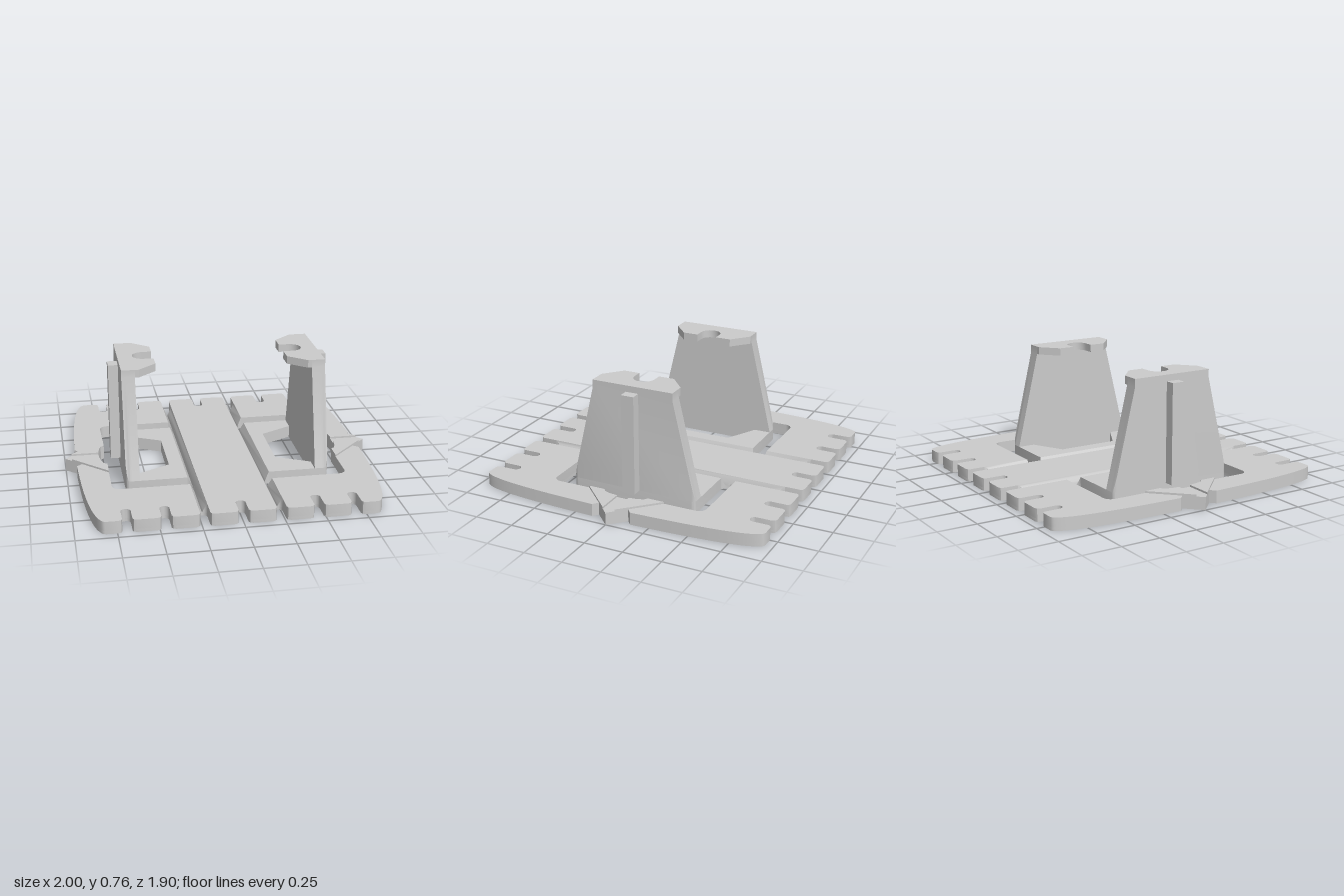
import * as THREE from 'three';
import { toCreasedNormals } from 'three/addons/utils/BufferGeometryUtils.js';

const material = new THREE.MeshStandardMaterial({ color: 0xcccccc });
const TOP = 0.08, GROOVE = 0.02, FOLD = 0.23, HALF = 0.03;

const flipZ = (pts) => pts.map(([x, z]) => [x, -z]).reverse();
const flipX = (pts) => pts.map(([x, z]) => [-x, z]).reverse();
const vectors = (pts) => pts.map(([x, y]) => new THREE.Vector2(x, y));

// Points on an arc between two angles in degrees
function arc(cx, cy, r, from, to, n = 6) {
  return Array.from({ length: n + 1 }, (_, i) => {
    const a = THREE.MathUtils.degToRad(from + ((to - from) * i) / n);
    return [cx + r * Math.cos(a), cy + r * Math.sin(a)];
  });
}

function mesh(name, geometry) {
  const m = new THREE.Mesh(toCreasedNormals(geometry, 0.6), material);
  m.name = name;
  return m;
}

// Horizontal slab from an (x, z) outline; heightAt(x) gives it a sloping top
function slab(name, pts, y0, y1, holes = [], heightAt = null) {
  const outline = vectors(pts);
  if (THREE.ShapeUtils.isClockWise(outline)) outline.reverse();
  const shape = new THREE.Shape(outline);
  for (const h of holes) shape.holes.push(new THREE.Path(vectors(h)));
  const geo = new THREE.ExtrudeGeometry(shape, { depth: y1 - y0, bevelEnabled: false });
  geo.rotateX(Math.PI / 2).translate(0, y1, 0);
  if (heightAt) {
    const p = geo.attributes.position;
    for (let i = 0; i < p.count; i++) {
      if (p.getY(i) > (y0 + y1) / 2) p.setY(i, heightAt(p.getX(i)));
    }
  }
  return mesh(name, geo);
}

// Sloping wall of a V-shaped fold groove
const grooveHeight = (x) => GROOVE + ((TOP - GROOVE) * Math.abs(Math.abs(x) - FOLD)) / HALF;
const wedge = (pts) => slab('grooveWall', pts, GROOVE, TOP, [], grooveHeight);

// Round-bottomed edge notches with softened corners
const corner = (c) => [[c + 0.03, 0.927], [c + 0.037, 0.943], [c + 0.055, 0.95]];
const halfNotch = (c) => [...arc(c, 0.83, HALF, -90, 0), ...corner(c)];
const leftNotch = (c) => flipX(halfNotch(-c));
const notch = (c) => [...leftNotch(c), ...halfNotch(c).slice(1)];

// Bulging side edge ending in a pointed tip
const sideCurve = new THREE.SplineCurve(vectors([
  [0.815, 0.95], [0.84, 0.935], [0.868, 0.87], [0.893, 0.75], [0.912, 0.58], [0.925, 0.38], [0.934, 0.13],
])).getPoints(24).map((v) => [v.x, v.y]);
const edge = [...corner(FOLD), ...notch(0.46), ...notch(0.69), ...sideCurve, [0.9, 0.1], [1, 0]];

// Borders of the C-shaped slot around each flap, starting at its round end
const SLOT_X = FOLD + HALF;
const bump = [[0.74, 0.15], [0.762, 0.135], [0.776, 0.095], [0.783, 0.04]];
const slotOuter = [[SLOT_X, 0.52], ...arc(0.69, 0.47, 0.05, 90, 0), ...bump];
const FLAP_X = 0.645, FLAP_Z = 0.42, FLAP_R = 0.025;
const flapEdge = [[SLOT_X, FLAP_Z], ...arc(FLAP_X - FLAP_R, FLAP_Z - FLAP_R, FLAP_R, 90, 0)];
const slotEndOuter = arc(SLOT_X + 0.01, 0.47, 0.05, 143, 100, 4);
const slotEndInner = arc(SLOT_X + 0.01, 0.47, 0.05, 217, 260, 4);
const slotTip = [0.22, 0.47];
const slotOuterAll = [slotTip, ...slotEndOuter, ...slotOuter];
const flapEdgeAll = [...slotEndInner, ...flapEdge];
const slot = [...slotOuterAll, ...flipZ(slotOuterAll), ...flipZ([...flapEdgeAll].reverse()),
  ...[...flapEdgeAll].reverse()];
const windowHole = [[0.35, 0.2], [0.56, 0.31], [0.56, -0.31], [0.35, -0.2]];

// Tapered upright whose lower outer corners follow the rounded flap
function createUpright() {
  const z1 = 0.27, y1 = 0.71, x0 = 0.56;
  const slopeY = (z) => TOP + ((FLAP_Z - z) / (FLAP_Z - z1)) * (y1 - TOP);
  const mark = 0.39;
  const half = [[FLAP_Z, TOP], [mark, slopeY(mark)], [z1, y1], [z1, 0.76]];
  const shape = new THREE.Shape(vectors([...half, ...flipX(half)]));
  const geo = new THREE.ExtrudeGeometry(shape, { depth: FLAP_X - x0, steps: 16, bevelEnabled: false });
  geo.rotateY(Math.PI / 2).translate(x0, 0, 0);
  const p = geo.attributes.position;
  for (let i = 0; i < p.count; i++) {
    const z = p.getZ(i);
    if (Math.abs(z) < mark - 0.01) continue;
    const d = Math.max(0, p.getX(i) - (FLAP_X - FLAP_R));
    const limit = FLAP_Z - FLAP_R + Math.sqrt(Math.max(0, FLAP_R ** 2 - d ** 2));
    p.setZ(i, Math.sign(z) * limit);
    if (p.getY(i) > TOP + 0.01) p.setY(i, slopeY(limit));
  }
  return mesh('upright', geo);
}

function createSide(name) {
  const side = new THREE.Group();
  side.name = name;

  // Upper layer of the outer frame and of the flap
  const frame = [...edge, ...flipZ(edge).slice(1), ...slotOuter.map(([x, z]) => [x, -z]), ...[...slotOuter].reverse()];
  side.add(slab('sideFrame', frame, GROOVE, TOP));
  side.add(slab('flap', [...flapEdge, ...flipZ(flapEdge)], GROOVE, TOP, [windowHole]));

  // Outer groove walls, interrupted by the slot ends
  const frameWedge = [...arc(FOLD, 0.83, HALF, -90, 0), [SLOT_X, 0.52], ...[...slotEndOuter].reverse()];
  const flapWedge = [...slotEndInner, [SLOT_X, FLAP_Z]];
  side.add(wedge(frameWedge), wedge(flipZ(frameWedge)), wedge([...flapWedge, ...flipZ(flapWedge)]));

  // Inner groove wall
  const stripWedge = [...arc(FOLD, 0.83, HALF, 180, 270), slotEndOuter[0], slotTip, slotEndInner[0]];
  side.add(wedge([...stripWedge, ...flipZ(stripWedge)]));

  side.add(createUpright());

  // Outer rib
  side.add(mesh('rib', new THREE.BoxGeometry(0.07, 0.638, 0.084).translate(0.673, 0.4, 0)));

  // Top hook with a rounded mouth
  const half = [[0.56, 0.27], [0.535, 0.27], [0.42, 0.17], [0.42, 0.068], ...arc(0.482, 0, 0.068, 90, 0)];
  side.add(slab('hook', [...half, ...flipZ(half).slice(1)], 0.71, 0.76));

  // Raised triangular pads either side of the latch channel
  const pad = [[0.74, 0.26], ...bump, [0.96, 0.04]];
  side.add(slab('latchPadFront', pad, TOP, 0.092));
  side.add(slab('latchPadBack', flipZ(pad), TOP, 0.092));
  return side;
}

export function createModel() {
  const model = new THREE.Group();
  model.name = 'foldingBracket';

  // Thin continuous bottom layer
  const right = [...halfNotch(0), ...notch(FOLD), ...edge.slice(3)];
  const front = [...flipX(right), ...right.slice(1)];
  const outline = [...front, ...flipZ(front).slice(1, -1)];
  const holes = [slot, windowHole];
  model.add(slab('baseSheet', outline, 0, GROOVE, [...holes, ...holes.map(flipX)]));

  // Centre strip between the two fold grooves
  const stripRight = [...halfNotch(0), ...flipX(corner(-FOLD))];
  const stripFront = [...flipX(stripRight), ...stripRight.slice(1)];
  model.add(slab('centreStrip', [...stripFront, ...flipZ(stripFront)], GROOVE, TOP));

  // Matching halves
  const rightSide = createSide('rightSide');
  rightSide.rotation.y = Math.PI;
  model.add(createSide('leftSide'), rightSide);
  return model;
}
